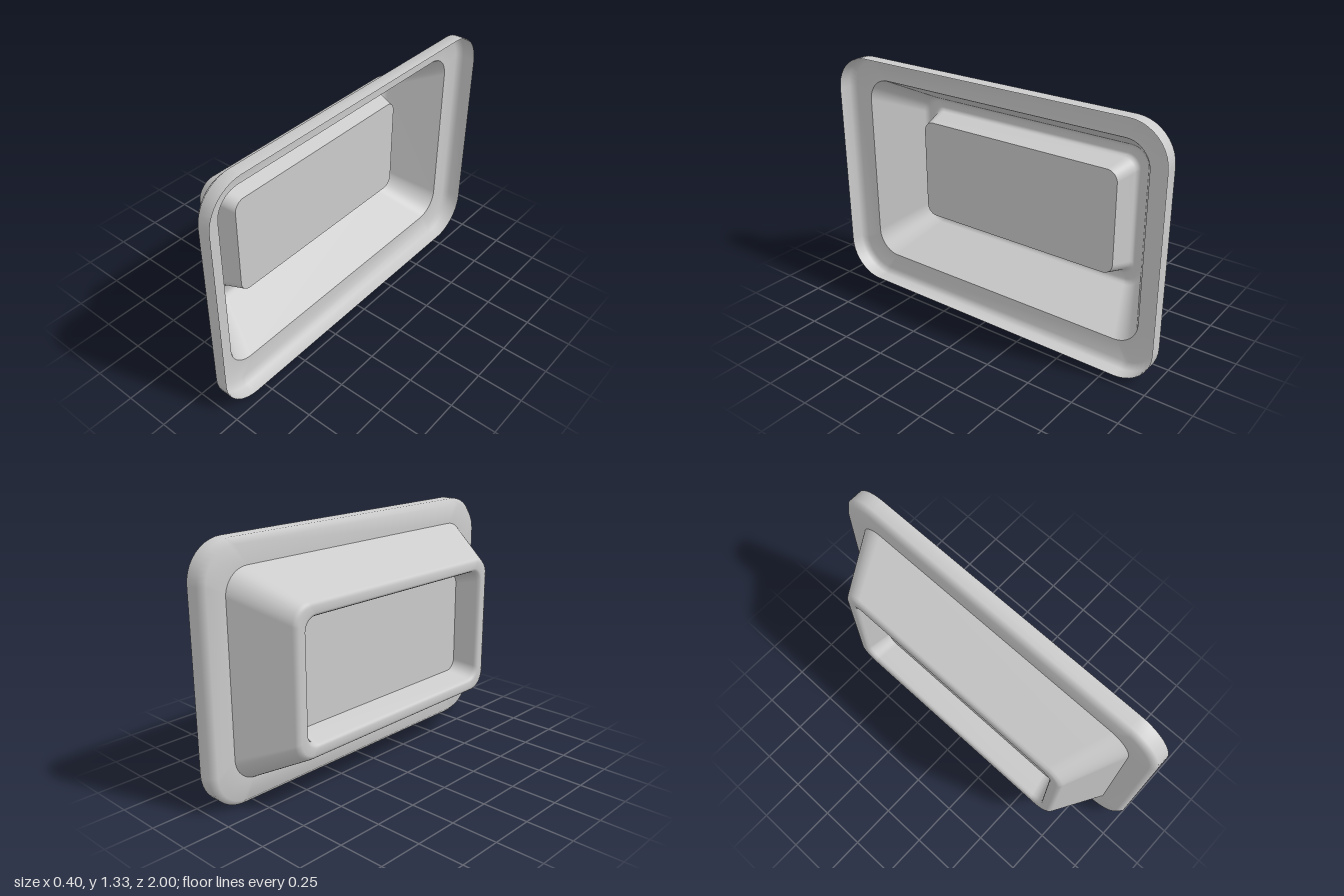
import * as THREE from 'three';

const CENTER_Y = 0.667;
const SEG = 10; // segments per rounded corner
const material = new THREE.MeshStandardMaterial({ color: 0xcccccc, side: THREE.DoubleSide });

// Rounded rectangle in the z-y plane at depth x
function ring([x, halfZ, halfY, r]) {
  const pts = [];
  for (let c = 0; c < 4; c++) {
    const sz = c === 0 || c === 3 ? 1 : -1;
    const sy = c < 2 ? 1 : -1;
    for (let i = 0; i <= SEG; i++) {
      const a = (c + i / SEG) * Math.PI / 2;
      pts.push(x, CENTER_Y + sy * (halfY - r) + r * Math.sin(a), sz * (halfZ - r) + r * Math.cos(a));
    }
  }
  return pts;
}

// Smooth sheet through a series of rings; a cap closes the last ring
function sheet(name, rings, cap = false) {
  const n = 4 * (SEG + 1);
  const pos = rings.flatMap(ring);
  const index = [];
  for (let j = 0; j < rings.length - 1; j++) {
    for (let i = 0; i < n; i++) {
      const a = j * n + i, b = j * n + (i + 1) % n;
      index.push(a, b, a + n, b, b + n, a + n);
    }
  }
  if (cap) {
    const last = (rings.length - 1) * n;
    const mid = pos.length / 3;
    pos.push(rings[rings.length - 1][0], CENTER_Y, 0);
    for (let i = 0; i < n; i++) index.push(last + i, last + (i + 1) % n, mid);
  }
  const geo = new THREE.BufferGeometry();
  geo.setAttribute('position', new THREE.Float32BufferAttribute(pos, 3));
  geo.setIndex(index);
  geo.computeVertexNormals();
  const mesh = new THREE.Mesh(geo, material);
  mesh.name = name;
  return mesh;
}

export function createModel() {
  const group = new THREE.Group();
  group.name = 'recessedTray';

  // Rings are [x, half width in z, half height in y, corner radius]
  const flangeInner = [0.1, 0.866, 0.533, 0.13];
  const panelEdge = [-0.06, 0.62, 0.285, 0.06];

  // Outer lip, bevel and flat flange
  group.add(sheet('rimFlange', [
    [0.2, 1, 0.667, 0.2],
    [0.13, 1, 0.667, 0.2],
    [0.1, 0.97, 0.637, 0.17],
    flangeInner,
  ]));

  // Sloping walls, rounded ridge and the step back to the panel
  group.add(sheet('taperedWalls', [
    flangeInner,
    [-0.18, 0.724, 0.391, 0.1],
    [-0.193, 0.715, 0.382, 0.095],
    [-0.2, 0.7, 0.367, 0.085],
    [-0.2, 0.67, 0.335, 0.075],
    [-0.195, 0.658, 0.323, 0.07],
    [-0.18, 0.65, 0.315, 0.068],
    panelEdge,
  ]));

  // Flat panel in the middle
  group.add(sheet('centerPanel', [panelEdge], true));
  return group;
}
